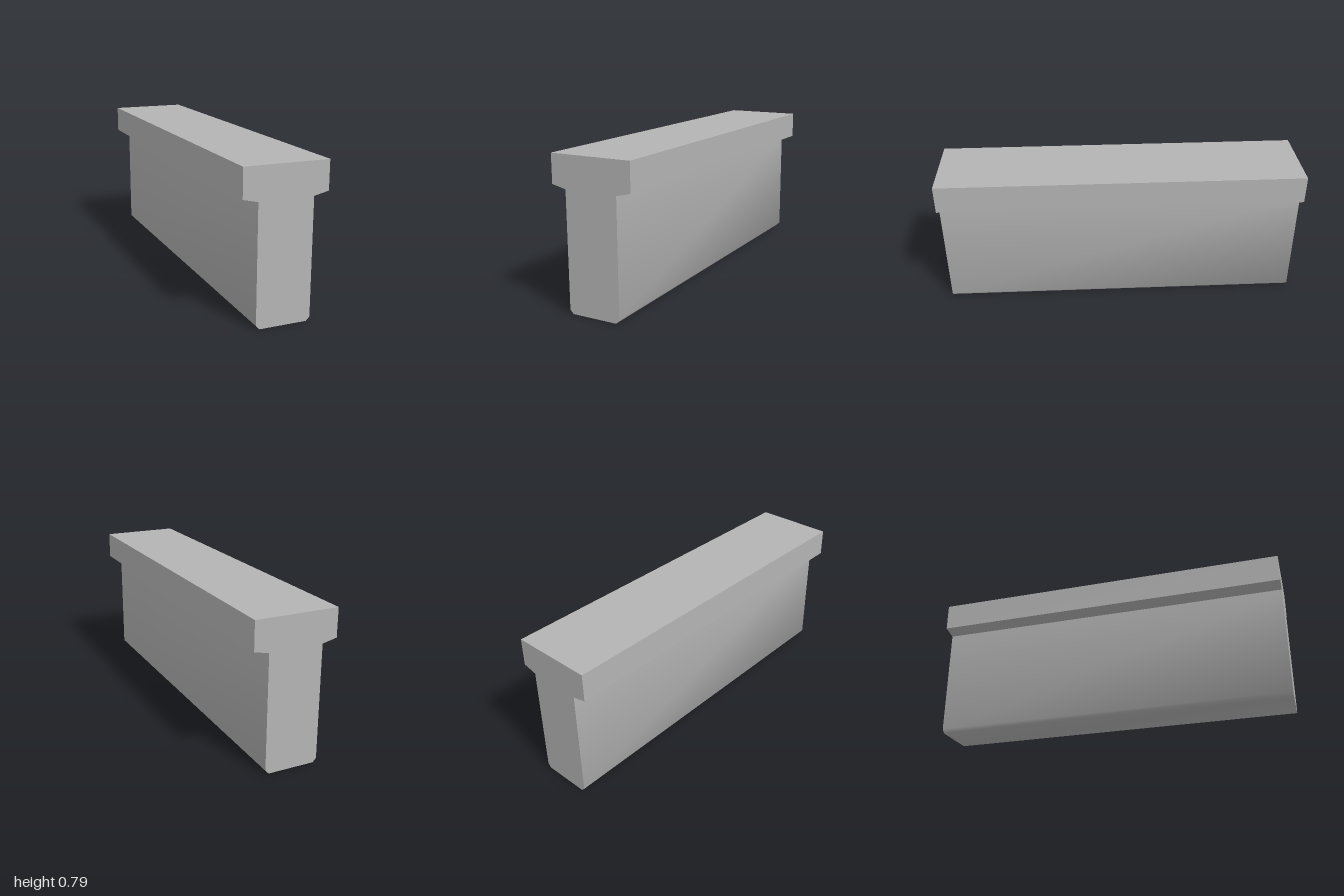
import * as THREE from 'three';
import { toCreasedNormals } from 'three/addons/utils/BufferGeometryUtils.js';

export function createModel() {
  const group = new THREE.Group();
  group.name = 'beam';

  const concrete = new THREE.MeshStandardMaterial({ color: 0xb4b4b4 });
  concrete.name = 'concrete grey';

  // Right half of the T section, bottom to top: chamfer, web, sloped flange, top
  const half = [[0.125, 0], [0.144, 0.02], [0.144, 0.623], [0.222, 0.641], [0.222, 0.792]];
  const mirrored = half.map(([x, y]) => [-x, y]).reverse();
  const section = new THREE.Shape([...half, ...mirrored].map(([x, y]) => new THREE.Vector2(x, y)));

  // Extrude along z; the bottom chamfers stay smooth, all other edges sharp
  const geometry = new THREE.ExtrudeGeometry(section, { depth: 2, bevelEnabled: false });
  geometry.translate(0, 0, -1);
  const beam = new THREE.Mesh(toCreasedNormals(geometry, Math.PI / 3), concrete);
  beam.name = 'teeBeam';
  group.add(beam);

  return group;
}
